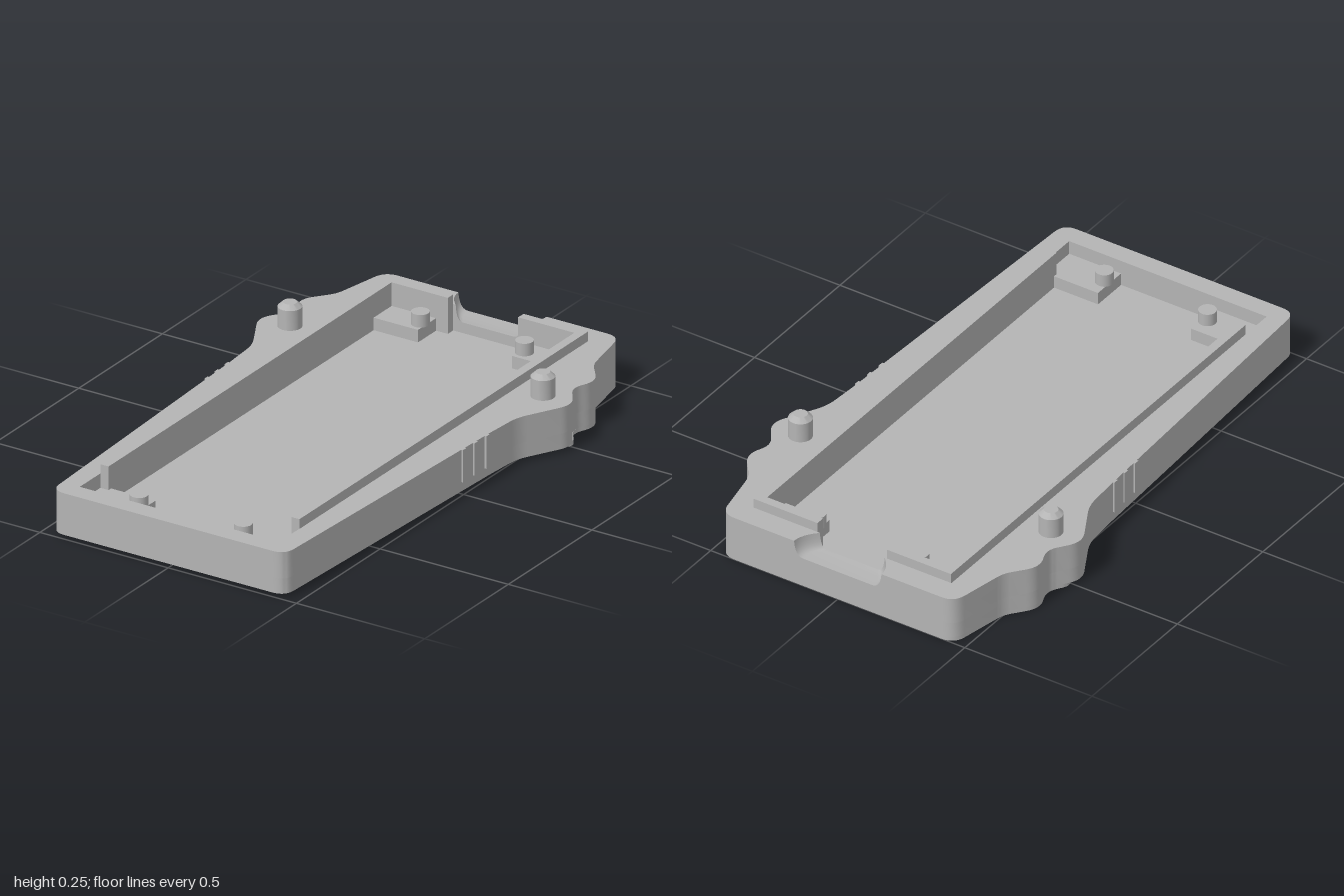
import * as THREE from 'three';
import { toCreasedNormals } from 'three/addons/utils/BufferGeometryUtils.js';

const V = (x, z) => new THREE.Vector2(x, z);

// Closed outline with softened corners; each point is [x, z, radius]
function rounded(points) {
  const shape = new THREE.Shape();
  points.forEach(([x, z, r = 0], i) => {
    const n = points.length;
    const c = V(x, z);
    const toward = (q) => {
      const d = V(q[0], q[1]).sub(c);
      return c.clone().add(d.setLength(Math.min(r, d.length() * 0.48)));
    };
    const a = r ? toward(points[(i + n - 1) % n]) : c;
    if (i === 0) shape.moveTo(a.x, a.y); else shape.lineTo(a.x, a.y);
    if (r) {
      const b = toward(points[(i + 1) % n]);
      shape.quadraticCurveTo(x, z, b.x, b.y);
    }
  });
  shape.closePath();
  return shape;
}

// Extrudes an (x, z) outline between two heights
function slab(shape, y0, y1) {
  const g = new THREE.ExtrudeGeometry(shape, { depth: y1 - y0, bevelEnabled: false, curveSegments: 8 });
  g.rotateX(Math.PI / 2).translate(0, y1, 0);
  return toCreasedNormals(g, 0.6);
}

const mirror = (pts) => pts.map(([x, z, r]) => [-x, z, r]).reverse();

export function createModel() {
  const group = new THREE.Group();
  const grey = new THREE.MeshStandardMaterial({ color: 0xb4b4b4 });
  grey.name = 'plain grey';
  const add = (name, geometry) => {
    const m = new THREE.Mesh(geometry, grey);
    m.name = name;
    group.add(m);
    return m;
  };
  const box = (name, x0, x1, y0, y1, z0, z1) =>
    add(name, new THREE.BoxGeometry(x1 - x0, y1 - y0, z1 - z0)
      .translate((x0 + x1) / 2, (y0 + y1) / 2, (z0 + z1) / 2));

  const BASE = 0.015, FLOOR = 0.07, RIM = 0.165, PORT = 0.18;

  // Left half of the wavy case outline, back to front
  const back = [[0.457, -1, 0.05], [0.5, -0.775, 0.03], [0.58, -0.675, 0.05], [0.54, -0.585, 0.04]];
  const half = [...back, [0.615, -0.48, 0.05], [0.515, -0.295, 0.04], [0.505, -0.15], [0.455, 1, 0.05]];
  const outline = [...half, ...mirror(half)];

  add('caseFloor', slab(rounded(outline), BASE, FLOOR));

  // Wall ring, open at the cable port in the back
  const walls = [
    [PORT, -1], ...outline, [-PORT, -1], [-PORT, -0.915], [-0.39, -0.915],
    [-0.39, 0.93], [0.387, 0.93], [0.387, -0.915], [PORT, -0.915],
  ];
  add('caseWalls', slab(rounded(walls), FLOOR, RIM));

  // Flared cable port: a U section that narrows toward the inside
  const u = new THREE.Shape();
  u.moveTo(-PORT, FLOOR);
  u.lineTo(PORT, FLOOR);
  u.lineTo(PORT, RIM);
  u.lineTo(0.172, RIM);
  u.quadraticCurveTo(0.168, 0.108, 0.135, 0.108);
  u.lineTo(-0.135, 0.108);
  u.quadraticCurveTo(-0.168, 0.108, -0.172, RIM);
  u.lineTo(-PORT, RIM);
  const port = new THREE.ExtrudeGeometry(u, { depth: 0.085, steps: 6, bevelEnabled: false, curveSegments: 6 });
  port.translate(0, 0, -1);
  const p = port.attributes.position;
  for (let i = 0; i < p.count; i++) {
    const t = (p.getZ(i) + 1) / 0.085;
    if (Math.abs(p.getX(i)) < PORT - 0.001) p.setX(i, p.getX(i) * (1 - 0.26 * t * t));
  }
  port.computeVertexNormals();
  add('cablePort', toCreasedNormals(port, 0.6));

  for (const s of [1, -1]) {
    const side = s > 0 ? 'left' : 'right';
    const sbox = (name, xa, xb, ...rest) => box(name, Math.min(s * xa, s * xb), Math.max(s * xa, s * xb), ...rest);

    // Raised locating lip
    sbox(side + 'SideLip', 0.356, 0.388, FLOOR, 0.2, -0.915, 0.81);
    sbox(side + 'BackLip', 0.137, 0.356, FLOOR, 0.2, -0.915, -0.883);

    // Corner supports with small pegs
    sbox(side + 'BackSupport', 0.183, 0.356, FLOOR, 0.115, -0.883, -0.775);
    sbox(side + 'FrontSupport', 0.183, 0.388, FLOOR, 0.115, 0.795, 0.93);
    for (const z of [-0.82, 0.862]) {
      const peg = add(side + 'SupportPeg', new THREE.CylinderGeometry(0.031, 0.031, 0.045, 24));
      peg.position.set(s * 0.203, 0.1375, z);
    }

    // Chamfered alignment pin
    const profile = [V(0, 0.16), V(0.041, 0.16), V(0.041, 0.236), V(0.024, 0.252), V(0, 0.252)];
    const pin = add(side + 'AlignmentPin', toCreasedNormals(new THREE.LatheGeometry(profile, 32), 0.5));
    pin.position.set(s * 0.493, 0, -0.485);

    // Thin grip ribs on the flank
    for (const z of [-0.13, -0.065, 0]) {
      const x = 0.505 - (z + 0.15) * 0.0435;
      sbox(side + 'GripRib', x - 0.01, x + 0.006, 0.048, RIM, z - 0.01, z + 0.01);
    }
  }

  // Dripping raised layer on the underside
  const drips = [
    ...back, [0.6, -0.51, 0.03], [0.54, -0.45, 0.05], [0.47, -0.6, 0.05], [0.37, -0.6, 0.05],
    [0.34, -0.44, 0.06], [0.23, -0.44, 0.06], [0.22, -0.63, 0.05], [0.1, -0.65, 0.05],
    [0.07, -0.29, 0.06], [-0.03, -0.29, 0.06], [-0.03, -0.6, 0.06], [-0.18, -0.63, 0.06],
    [-0.2, -0.42, 0.06], [-0.3, -0.42, 0.06], [-0.3, -0.6, 0.05], [-0.39, -0.62, 0.05],
    [-0.42, -0.43, 0.06], [-0.53, -0.43, 0.06], [-0.59, -0.51, 0.03], ...mirror(back),
  ];
  add('drips', slab(rounded(drips), 0, BASE));

  // Raised eye and jagged grin on the underside
  const eye = add('eye', new THREE.CylinderGeometry(0.036, 0.036, BASE, 24));
  eye.position.set(0.284, BASE / 2, -0.34);
  const grin = [[0.3, -0.04], [0.17, 0.0], [0.1, 0.0], [0.07, 0.03], [0.03, 0.0], [-0.03, 0.02],
    [-0.06, 0.0], [-0.15, 0.0], [-0.28, -0.04]];
  for (let i = 1; i < 14; i++) {
    const t = i / 14;
    grin.push([-0.28 + 0.58 * t, -0.04 + 0.18 * Math.sin(Math.PI * t) + (i % 2 ? 0.025 : -0.02)]);
  }
  add('grin', slab(rounded(grin), 0, BASE));

  return group;
}
